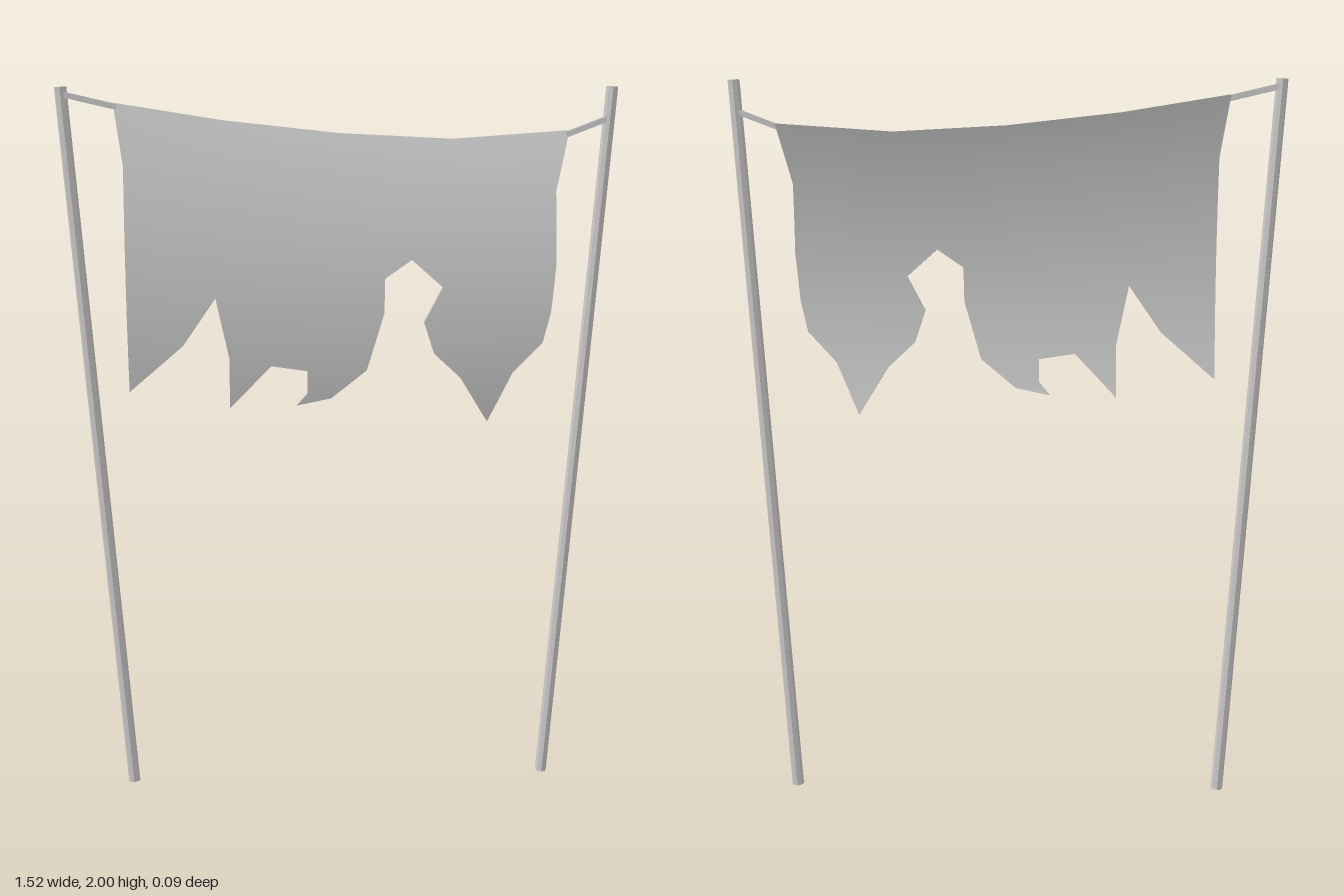
import * as THREE from 'three';

const POLE_Z = -0.029;
const THICK = 0.013;

// Torn cloth outline: sagging top edge, then down the +x side and along the ragged hem
const OUTLINE = [
  [-0.605, 1.957], [-0.31, 1.91], [0, 1.876], [0.31, 1.86], [0.63, 1.882],
  [0.59, 1.72], [0.592, 1.53], [0.58, 1.395], [0.56, 1.31], [0.48, 1.225], [0.415, 1.08],
  [0.335, 1.21], [0.26, 1.28], [0.23, 1.37], [0.28, 1.465], [0.195, 1.54], [0.122, 1.49],
  [0.12, 1.395], [0.073, 1.235], [-0.025, 1.155], [-0.12, 1.135], [-0.09, 1.17], [-0.09, 1.235],
  [-0.19, 1.25], [-0.305, 1.13], [-0.305, 1.275], [-0.34, 1.44], [-0.43, 1.31], [-0.58, 1.18],
  [-0.58, 1.79],
];

// Depth of the cloth: pinned back at the top, billowing forward in the middle
function billow(x, y) {
  const top = 1.875 - 0.063 * x + 0.115 * x * x;
  const s = (top - y) / (top - 1.08);
  return 0.037 - 0.229 * (s - 0.58) ** 2;
}

// Keep the part of a polygon above (sign 1) or below (sign -1) a height
function clip(poly, level, sign) {
  const out = [];
  poly.forEach((a, i) => {
    const b = poly[(i + 1) % poly.length];
    const da = sign * (a.y - level), db = sign * (b.y - level);
    if (da >= 0) out.push(a);
    if (da * db < 0) out.push(a.clone().lerp(b, da / (da - db)));
  });
  return out;
}

// Extrude the outline, cut it into horizontal bands and bend the bands
function clothGeometry() {
  const shape = new THREE.Shape(OUTLINE.map(([x, y]) => new THREE.Vector2(x, y)));
  const slab = new THREE.ExtrudeGeometry(shape, { depth: THICK, bevelEnabled: false });
  slab.translate(0, 0, -THICK / 2);
  const flat = slab.index ? slab.toNonIndexed() : slab;
  const pos = flat.attributes.position, nor = flat.attributes.normal;
  const positions = [], normals = [];
  const e = 0.001, step = 0.05;

  const addVertex = (v, n) => {
    const z = billow(v.x, v.y);
    positions.push(v.x, v.y, v.z + z);
    const m = n.clone();
    if (Math.abs(n.z) > 0.5) {
      m.set((z - billow(v.x + e, v.y)) / e, (z - billow(v.x, v.y + e)) / e, 1);
      m.normalize().multiplyScalar(Math.sign(n.z));
    }
    normals.push(m.x, m.y, m.z);
  };

  for (let i = 0; i < pos.count; i += 3) {
    const tri = [0, 1, 2].map((k) => new THREE.Vector3().fromBufferAttribute(pos, i + k));
    const n = new THREE.Vector3().fromBufferAttribute(nor, i);
    for (let y = 1.05; y < 2; y += step) {
      const part = clip(clip(tri, y, 1), y + step, -1);
      for (let k = 1; k + 1 < part.length; k++) {
        [part[0], part[k], part[k + 1]].forEach((v) => addVertex(v, n));
      }
    }
  }
  const geometry = new THREE.BufferGeometry();
  geometry.setAttribute('position', new THREE.Float32BufferAttribute(positions, 3));
  geometry.setAttribute('normal', new THREE.Float32BufferAttribute(normals, 3));
  return geometry;
}

export function createModel() {
  const group = new THREE.Group();
  const smooth = new THREE.MeshStandardMaterial({ color: 0xcccccc, side: THREE.DoubleSide });
  const faceted = new THREE.MeshStandardMaterial({ color: 0xcccccc, flatShading: true });

  const add = (name, geometry, material) => {
    const mesh = new THREE.Mesh(geometry, material);
    mesh.name = name;
    group.add(mesh);
    return mesh;
  };
  // Stand a y-aligned geometry between two points in the pole plane
  const span = (mesh, x0, y0, x1, y1) => {
    mesh.position.set((x0 + x1) / 2, (y0 + y1) / 2, POLE_Z);
    mesh.rotation.z = -Math.atan2(x1 - x0, y1 - y0);
  };

  // Outward-leaning poles
  const height = 1.998, lean = 0.137;
  for (const [name, side] of [['leftPole', 1], ['rightPole', -1]]) {
    const pole = add(name, new THREE.CylinderGeometry(0.0165, 0.0165, Math.hypot(height, lean), 8), faceted);
    span(pole, side * 0.605, 0.001, side * (0.605 + lean), 0.001 + height);
  }

  // Ties from the cloth's upper corners to the poles
  const ties = [
    ['leftTie', 0.622, 1.872, 0.738, 1.916],
    ['rightTie', -0.598, 1.947, -0.74, 1.98],
  ];
  for (const [name, x0, y0, x1, y1] of ties) {
    const tie = add(name, new THREE.BoxGeometry(0.015, Math.hypot(x1 - x0, y1 - y0), 0.026), faceted);
    span(tie, x0, y0, x1, y1);
  }

  // Torn banner
  add('tornCloth', clothGeometry(), smooth);
  return group;
}
